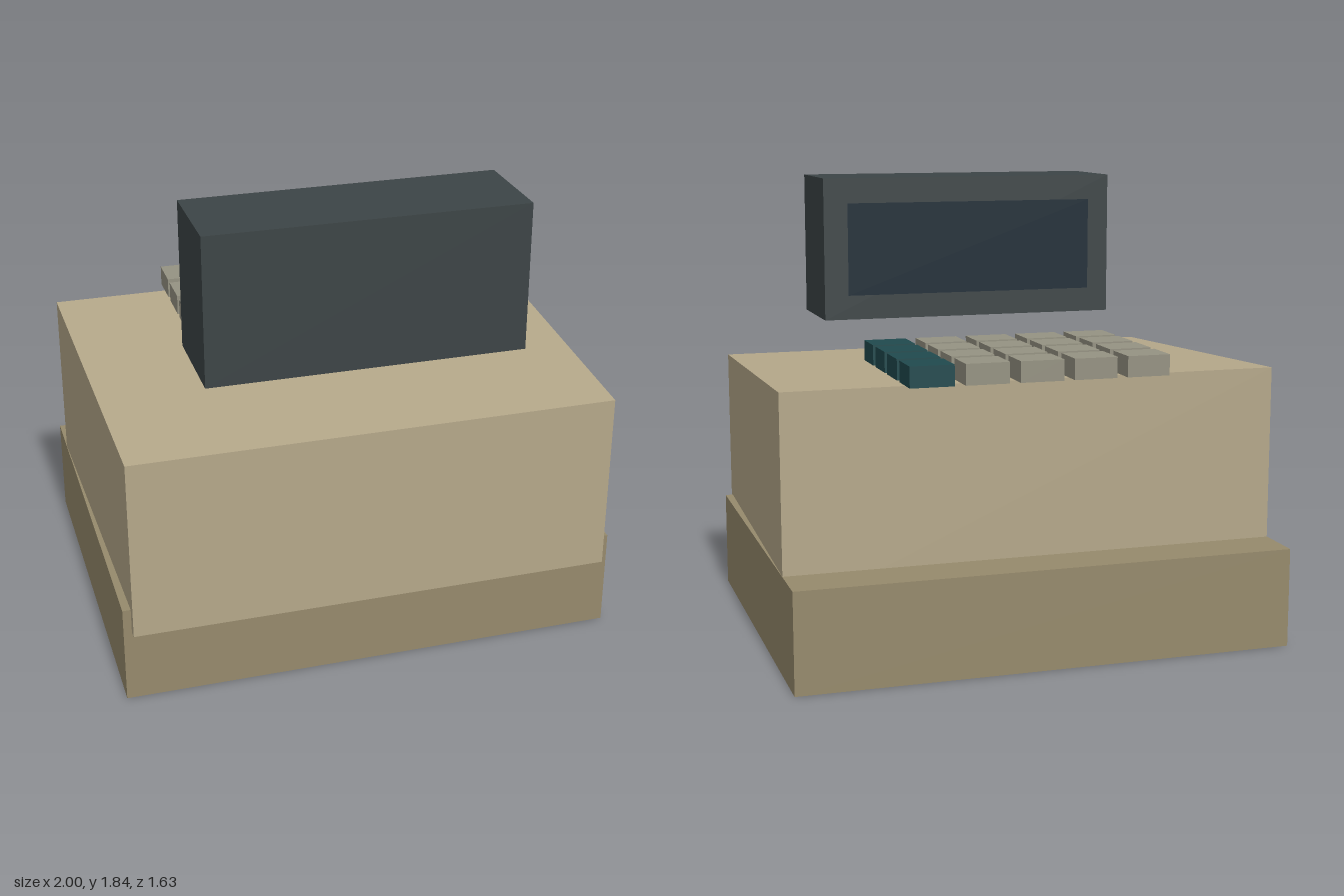
import * as THREE from 'three';

const mat = (color) => new THREE.MeshStandardMaterial({ color, flatShading: true });

export function createModel() {
  const model = new THREE.Group();
  model.name = 'cashRegister';

  const baseMat = mat(0x968a6c);
  const bodyMat = mat(0xb5a88a);
  const housingMat = mat(0x3c4446);
  const screenMat = mat(0x1a2a35);
  const keyMat = mat(0x959282);
  const functionKeyMat = mat(0x204a4e);

  const add = (name, geometry, material, x, y, z, parent = model) => {
    const mesh = new THREE.Mesh(geometry, material);
    mesh.name = name;
    mesh.position.set(x, y, z);
    parent.add(mesh);
    return mesh;
  };

  // Drawer base
  add('drawerBase', new THREE.BoxGeometry(2, 0.4, 1.6), baseMat, 0, 0.2, -0.02);

  // Body: a box that narrows towards the front and overhangs the drawer
  const body = new THREE.BoxGeometry(2, 2, 2);
  const p = body.attributes.position;
  for (let i = 0; i < p.count; i++) {
    const front = p.getZ(i) > 0;
    const up = p.getY(i) > 0;
    p.setXYZ(
      i,
      Math.sign(p.getX(i)) * (front ? 0.967 : 0.999),
      front ? (up ? 1.035 : 0.3) : (up ? 1.1 : 0.235),
      front ? 0.815 : -0.615
    );
  }
  body.computeVertexNormals();
  add('body', body, bodyMat, 0, 0, 0);

  // Keypad: four rows of five, the last column coloured
  const keypad = new THREE.Group();
  keypad.name = 'keypad';
  model.add(keypad);
  const keyGeometry = new THREE.BoxGeometry(0.174, 0.083, 0.155);
  for (let row = 0; row < 4; row++) {
    for (let col = 0; col < 5; col++) {
      const special = col === 4;
      add(special ? 'functionKey' : 'key', keyGeometry, special ? functionKeyMat : keyMat,
        -0.437 + col * 0.2175, 1.143, -0.61 + row * 0.1935, keypad);
    }
  }

  // Display housing, with its screen facing the keypad
  add('displayHousing', new THREE.BoxGeometry(1.265, 0.595, 0.4), housingMat, 0, 1.538, 0.483);
  const screen = add('displayScreen', new THREE.PlaneGeometry(1.07, 0.387), screenMat, 0, 1.538, 0.262);
  screen.rotation.y = Math.PI;

  return model;
}
